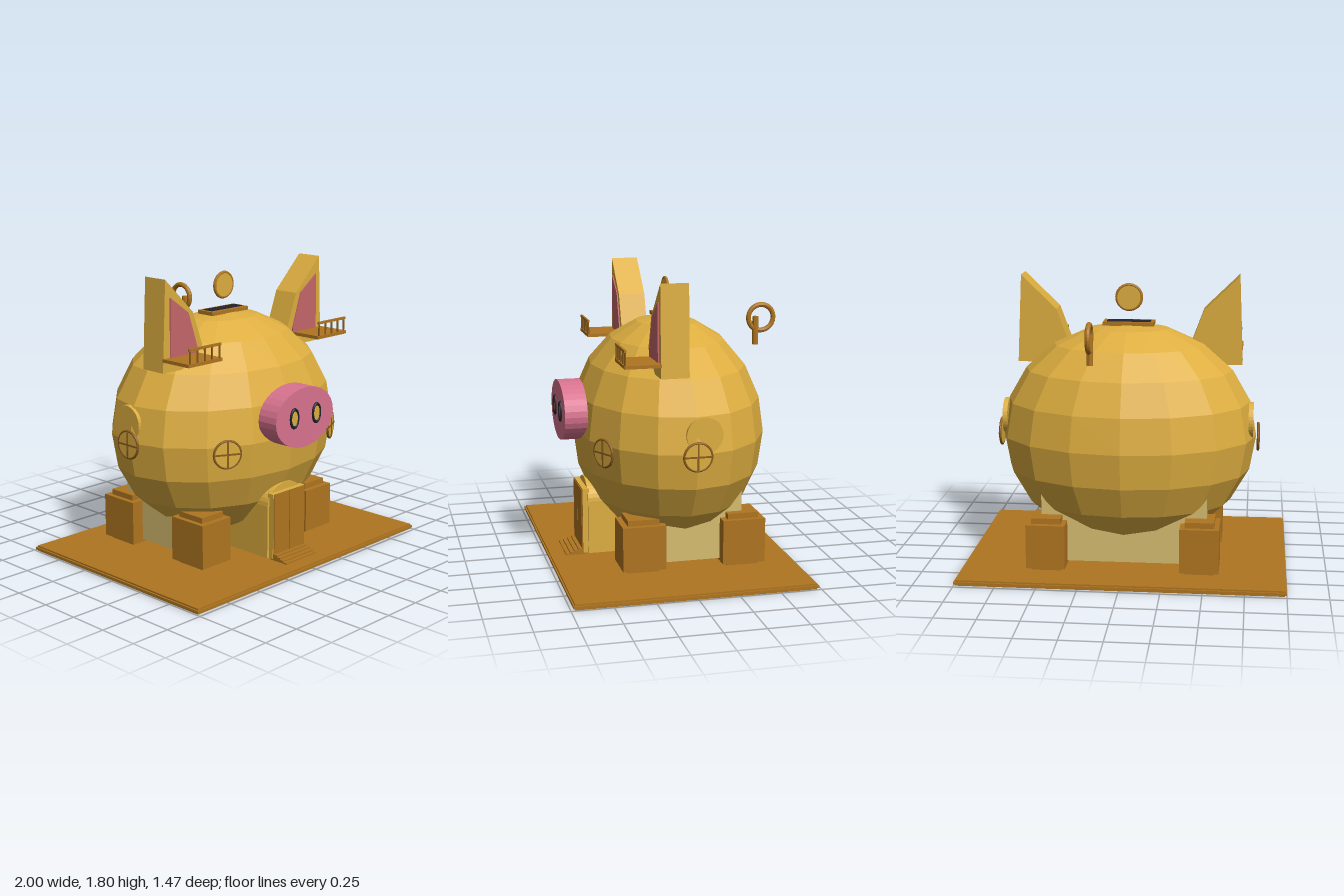
import * as THREE from 'three';

const mat = (name, color, extra = {}) => {
  const m = new THREE.MeshStandardMaterial({ color, ...extra });
  m.name = name;
  return m;
};

export function createModel() {
  const gold = mat('gold', 0xdeae40, { flatShading: true });
  const brown = mat('brown', 0xaf7520, { flatShading: true });
  const darkBrown = mat('dark brown', 0x8a5c1c, { flatShading: true });
  const pale = mat('pale plaster', 0xd8bd70);
  const pink = mat('snout pink', 0xd9738f, { flatShading: true });
  const earPink = mat('ear pink', 0xc5666a);
  const dark = mat('dark', 0x24222c);

  const root = new THREE.Group();
  root.name = 'pigHouse';
  const add = (parent, name, geo, material, x = 0, y = 0, z = 0) => {
    const m = new THREE.Mesh(geo, material);
    m.name = name;
    m.position.set(x, y, z);
    parent.add(m);
    return m;
  };
  // Box given by its limits on each axis
  const box = (parent, name, material, x0, x1, y0, y1, z0, z1) =>
    add(parent, name, new THREE.BoxGeometry(x1 - x0, y1 - y0, z1 - z0), material,
      (x0 + x1) / 2, (y0 + y1) / 2, (z0 + z1) / 2);
  // Disc facing +z
  const disc = (r, depth, n = 32) => new THREE.CylinderGeometry(r, r, depth, n).rotateX(Math.PI / 2);
  // Flat outline in x and y, extruded from z0 to z1
  const plate = (points, z0, z1) => new THREE.ExtrudeGeometry(
    new THREE.Shape(points.map(p => new THREE.Vector2(...p))),
    { depth: z1 - z0, bevelEnabled: false }).translate(0, 0, z0);

  // Ground slab with a raised lip
  box(root, 'baseSlab', brown, -0.99, 0.99, 0, 0.035, -0.725, 0.725);
  box(root, 'baseLip', brown, -1, 1, 0.01, 0.025, -0.735, 0.735);

  // Round body and the plastered walls under it
  const body = add(root, 'body', new THREE.SphereGeometry(1, 16, 10), gold, 0, 0.81, -0.045);
  body.scale.set(0.8, 0.705, 0.595);
  box(root, 'foundation', pale, -0.51, 0.51, 0.07, 0.49, -0.4, 0.15);

  // Legs: a wide block around a taller core
  for (const s of [-1, 1]) {
    for (const [name, z] of [['frontLeg', 0.227], ['backLeg', -0.395]]) {
      const leg = new THREE.Group();
      leg.name = name;
      leg.position.set(s * 0.47, 0, z);
      box(leg, 'legBlock', brown, -0.12, 0.12, 0.055, 0.33, -0.133, 0.133);
      box(leg, 'legCore', brown, -0.09, 0.09, 0.035, 0.365, -0.097, 0.097);
      root.add(leg);
    }
  }

  // Arched porch, double door and steps
  const arch = new THREE.Shape();
  arch.moveTo(-0.16, 0.045);
  arch.lineTo(0.16, 0.045);
  arch.lineTo(0.16, 0.38);
  arch.absellipse(0, 0.38, 0.16, 0.125, 0, Math.PI, false);
  add(root, 'porch', new THREE.ExtrudeGeometry(arch,
    { depth: 0.35, bevelEnabled: false, curveSegments: 8 }), gold, 0, 0, 0.14);
  box(root, 'doorFrame', gold, -0.145, 0.145, 0.045, 0.46, 0.48, 0.522);
  for (const s of [-1, 1]) {
    const leaf = box(root, 'doorLeaf', brown, -0.068, 0.068, 0.07, 0.455, 0.52, 0.529);
    leaf.position.x = s * 0.071;
  }
  box(root, 'doorGap', darkBrown, -0.14, 0.14, 0.07, 0.457, 0.52, 0.525);
  for (let i = 0; i < 4; i++) {
    box(root, 'step', brown, -0.14, 0.14, 0.03, 0.043 + i * 0.01, 0.5, 0.63 - i * 0.026);
  }

  // Snout and nostrils
  const snout = add(root, 'snout', disc(1, 0.14), pink, 0, 0.945, 0.573);
  snout.scale.set(0.26, 0.185, 1);
  for (const s of [-1, 1]) {
    const nostril = new THREE.Group();
    nostril.name = 'nostril';
    nostril.position.set(s * 0.1, 0.955, 0.645);
    nostril.scale.set(0.6, 1, 1);
    add(nostril, 'nostrilRing', new THREE.TorusGeometry(0.055, 0.011, 8, 24), dark);
    add(nostril, 'nostrilCentre', disc(0.05, 0.008, 24), gold);
    root.add(nostril);
  }

  // Round windows with crossbars, at the front corners and on the sides
  const porthole = (x, y, z, turn) => {
    const w = new THREE.Group();
    w.name = 'window';
    w.position.set(x, y, z);
    w.rotation.y = turn;
    add(w, 'windowPane', disc(0.085, 0.012), gold);
    add(w, 'windowRing', new THREE.TorusGeometry(0.083, 0.008, 8, 32), darkBrown);
    box(w, 'crossbar', darkBrown, -0.08, 0.08, -0.005, 0.005, -0.004, 0.011);
    box(w, 'upright', darkBrown, -0.005, 0.005, -0.08, 0.08, -0.004, 0.011);
    root.add(w);
  };
  for (const s of [-1, 1]) {
    porthole(s * 0.47, 0.77, 0.45, s * 0.49);
    porthole(s * 0.812, 0.803, -0.04, s * Math.PI / 2);
    // Half-sunk disc behind each side window
    const cheek = add(root, 'sideDisc', disc(0.11, 0.03), gold, s * 0.766, 0.92, -0.09);
    cheek.rotation.y = Math.PI / 2;
  }

  // Ears, each with a pink inside and a balcony
  const earPoints = [[0.705, 1.25], [0.68, 1.8], [0.46, 1.585], [0.38, 1.37], [0.5, 1.25]];
  const innerPoints = [[0.65, 1.33], [0.645, 1.69], [0.5, 1.585], [0.425, 1.36], [0.43, 1.33]];
  for (const s of [-1, 1]) {
    const ear = new THREE.Group();
    ear.name = s > 0 ? 'leftEar' : 'rightEar';
    const side = pts => pts.map(([x, y]) => [s * x, y]);
    add(ear, 'earShell', plate(side(earPoints), -0.015, 0.155), gold);
    add(ear, 'earInside', plate(side(innerPoints), 0.154, 0.162), earPink);
    const balcony = new THREE.Group();
    balcony.name = 'balcony';
    balcony.position.x = s * 0.568;
    box(balcony, 'balconyFloor', brown, -0.137, 0.137, 1.317, 1.337, 0.15, 0.37);
    box(balcony, 'handrail', brown, -0.13, 0.13, 1.412, 1.427, 0.357, 0.37);
    for (let i = 0; i < 5; i++) {
      add(balcony, 'railPost', new THREE.CylinderGeometry(0.006, 0.006, 0.08, 8), darkBrown,
        -0.12 + i * 0.06, 1.375, 0.363);
    }
    ear.add(balcony);
    root.add(ear);
  }

  // Coin slot with the coin floating above it
  box(root, 'slotFrame', brown, -0.158, 0.158, 1.5, 1.523, -0.11, 0.02);
  box(root, 'slotOpening', dark, -0.135, 0.135, 1.52, 1.527, -0.085, -0.01);
  add(root, 'coin', disc(0.078, 0.016), gold, 0, 1.67, -0.042);
  add(root, 'coinRim', new THREE.TorusGeometry(0.077, 0.01, 8, 32), brown, 0, 1.67, -0.042);

  // Ring-shaped tail with a stem
  const tail = add(root, 'tailRing', new THREE.TorusGeometry(0.08, 0.016, 8, 28), brown, 0.18, 1.505, -0.61);
  tail.rotation.y = Math.PI / 2;
  add(root, 'tailStem', new THREE.CylinderGeometry(0.02, 0.02, 0.175, 8), brown, 0.18, 1.425, -0.575);

  return root;
}
